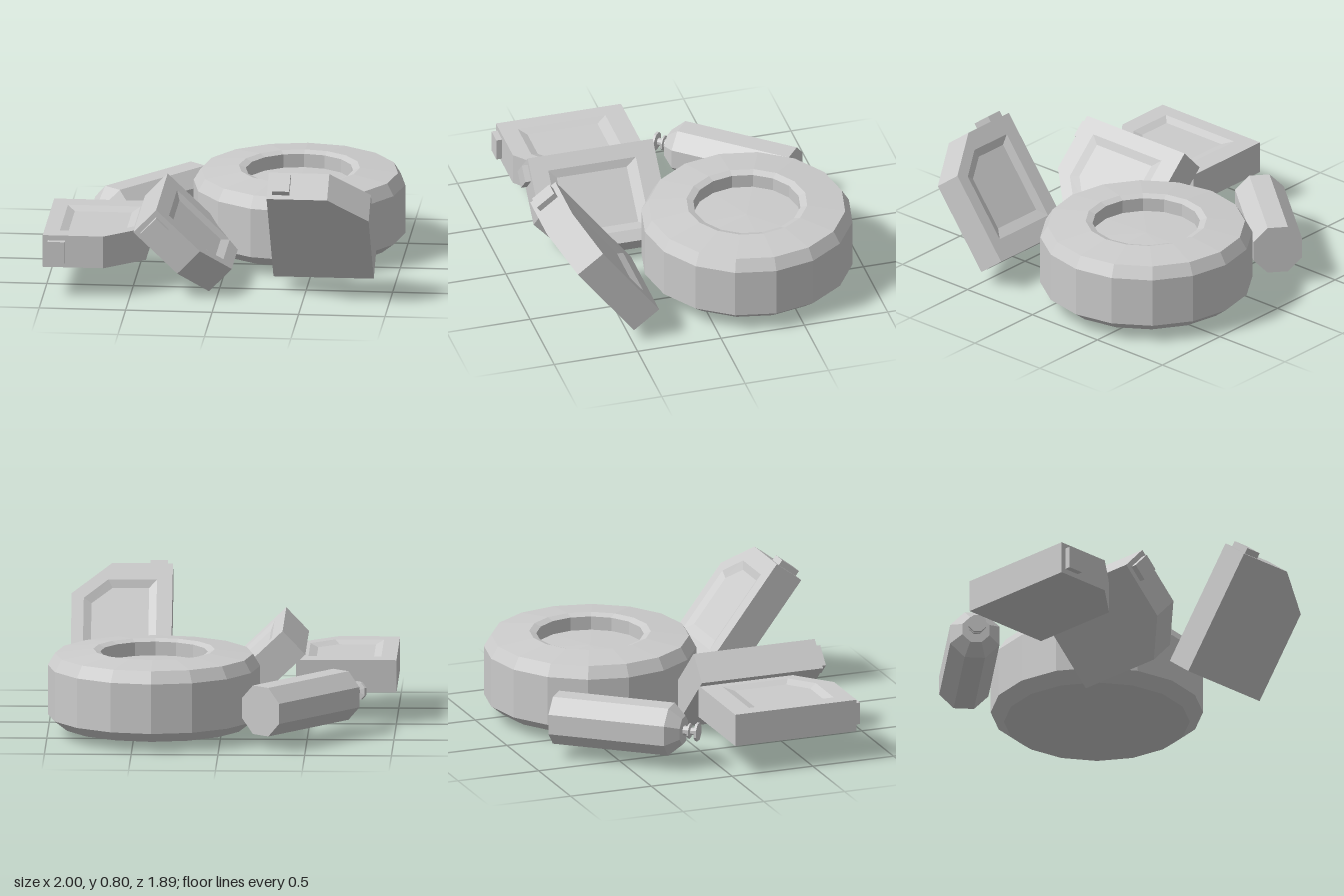
import * as THREE from 'three';

const material = new THREE.MeshStandardMaterial({ color: 0xcccccc, flatShading: true });

function addMesh(parent, name, geometry) {
  const mesh = new THREE.Mesh(geometry, material);
  mesh.name = name;
  parent.add(mesh);
  return mesh;
}

// Solid through matching convex rings { y, pts: [[x, z], ...] }, capped at both ends
function loft(rings) {
  const n = rings[0].pts.length;
  const pos = rings.flatMap(({ y, pts }) => pts.flatMap(([x, z]) => [x, y, z]));
  const index = [];
  for (let r = 0; r < rings.length - 1; r++) {
    for (let i = 0; i < n; i++) {
      const a = r * n + i, b = r * n + (i + 1) % n;
      index.push(a, a + n, b, b, a + n, b + n);
    }
  }
  const top = (rings.length - 1) * n;
  for (let i = 1; i < n - 1; i++) {
    index.push(0, i, i + 1, top, top + i + 1, top + i);
  }
  const indexed = new THREE.BufferGeometry();
  indexed.setAttribute('position', new THREE.Float32BufferAttribute(pos, 3));
  indexed.setIndex(index);
  const geometry = indexed.toNonIndexed();
  geometry.computeVertexNormals();
  return geometry;
}

function lathe(profile, sides, start = 0) {
  return new THREE.LatheGeometry(profile.map(([r, y]) => new THREE.Vector2(r, y)), sides, start);
}

// Fuel can lying on its back: cut corner, sunken front panel, square cap
function fuelCan(name) {
  const can = new THREE.Group();
  can.name = name;
  const outline = [[0, 0], [0.58, 0], [0.58, 0.555], [0.35, 0.75], [0, 0.75]];
  const panelEdge = [[0.09, 0.12], [0.51, 0.12], [0.51, 0.525], [0.37, 0.645], [0.09, 0.645]];
  const panelFloor = [[0.135, 0.18], [0.465, 0.18], [0.465, 0.5], [0.345, 0.6], [0.135, 0.6]];
  addMesh(can, 'canBody', loft([
    { y: 0, pts: outline },
    { y: 0.19, pts: outline },
    { y: 0.19, pts: panelEdge },
    { y: 0.17, pts: panelFloor },
  ]));
  addMesh(can, 'canCap', new THREE.BoxGeometry(0.1, 0.13, 0.045)).position.set(0.08, 0.095, 0.7625);
  return can;
}

export function createModel() {
  const model = new THREE.Group();
  model.name = 'salvagePile';

  // Tyre with a shallow central well
  addMesh(model, 'tyre', lathe([
    [0, 0.06], [0.535, 0.06], [0.612, 0.12], [0.612, 0.41], [0.57, 0.48],
    [0.35, 0.505], [0.31, 0.49], [0.31, 0.41], [0, 0.42],
  ], 16)).position.set(0.387, 0, -0.333);

  // Gas bottle lying on its side, valve towards the front
  const bottle = new THREE.Group();
  bottle.name = 'gasBottle';
  addMesh(bottle, 'bottleBody', lathe([
    [0, 0], [0.154, 0], [0.154, 0.7], [0.085, 0.775], [0, 0.775],
  ], 8, Math.PI / 8));
  addMesh(bottle, 'bottleValve', lathe([
    [0.028, 0.77], [0.028, 0.8], [0.045, 0.805], [0.045, 0.815], [0.022, 0.82],
    [0.022, 0.845], [0.055, 0.85], [0.055, 0.865], [0, 0.865],
  ], 8, Math.PI / 8));
  bottle.rotation.set(Math.PI / 2, Math.atan2(-0.64, 0.77), 0, 'YXZ');
  bottle.position.set(-0.24, 0.23, -0.79);
  model.add(bottle);

  // Three cans: one flat, one leaning sideways, one leaning upright
  const flat = fuelCan('flatCan');
  flat.position.set(-1, 0.19, 0.02);
  const sideways = fuelCan('sidewaysCan');
  sideways.position.set(-0.475, 0.41, 0.02);
  sideways.rotation.z = -0.761;
  const upright = fuelCan('uprightCan');
  upright.position.set(0.31, 0.085, 0.49);
  upright.rotation.x = -0.92;
  model.add(flat, sideways, upright);

  return model;
}
